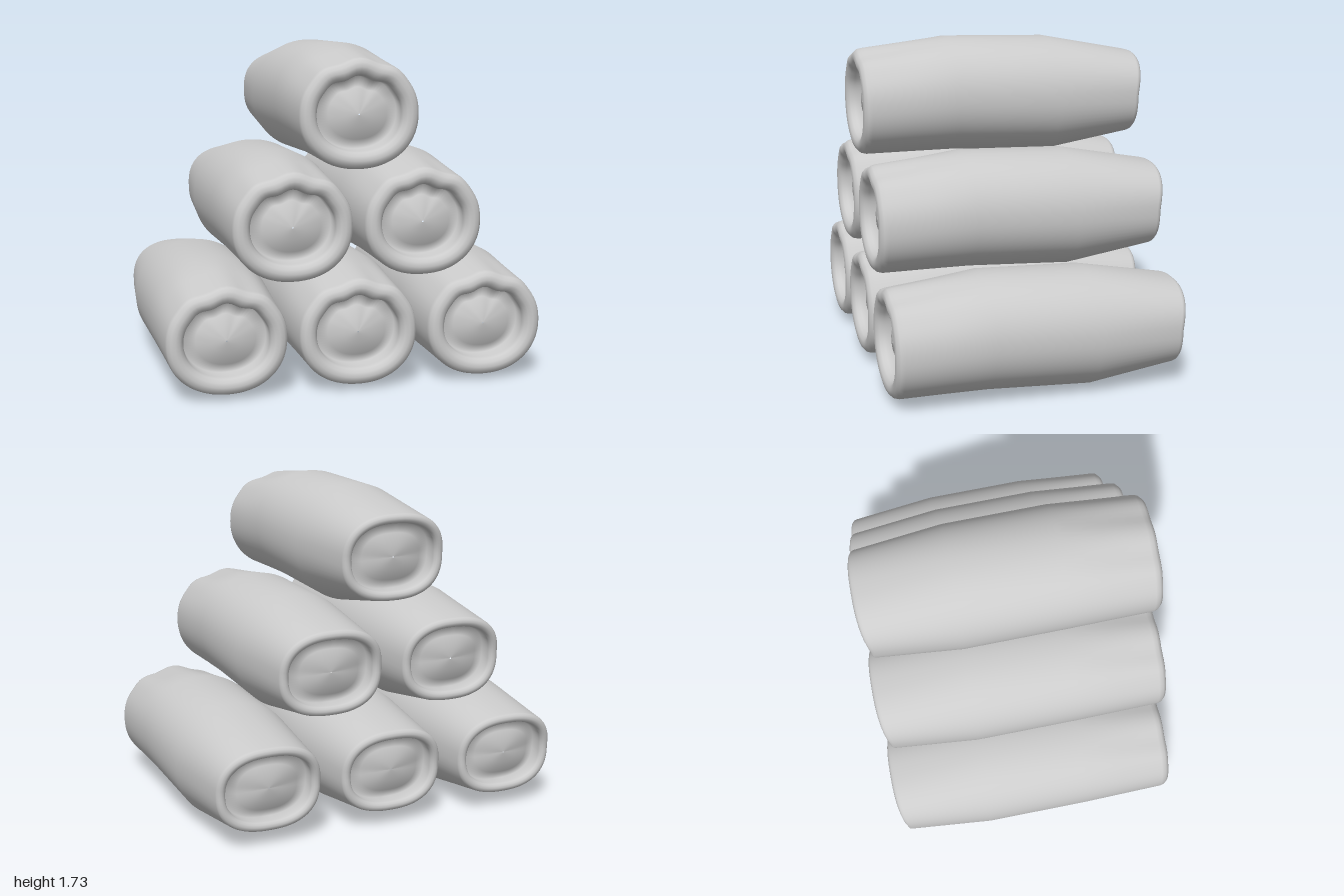
import * as THREE from 'three';

const SEGMENTS = 72;
const LIP_STEPS = 6;
const DISH_SCALES = [0.97, 0.7, 0.35, 0.02];

// Body cross-sections from front to back
const ring = (z, x0, x1, y0, y1, n, pleat, lean) => ({ z, x0, x1, y0, y1, n, pleat, lean });
const BODY = [
  ring(0.72, -0.302, 0.309, 0.03, 0.572, 2.15, 0.01, 0),
  ring(0.5, -0.311, 0.317, 0.03, 0.6, 2.1, 0.005, 0),
  ring(0.27, -0.32, 0.325, 0.03, 0.63, 2.1, 0, 0),
  ring(-0.27, -0.32, 0.325, 0.004, 0.615, 2.1, 0, 0),
  ring(-0.71, -0.28, 0.275, 0.08, 0.522, 2.45, 0, 0.04),
];

// Shrinks a cross-section by a margin and moves it along z
const inset = (r, d, dz) => ({
  ...r, z: r.z + dz, x0: r.x0 + d, x1: r.x1 - d, y0: r.y0 + d, y1: r.y1 - d,
});

// Scales a cross-section about its middle
function shrink(r, s, z) {
  const cx = (r.x0 + r.x1) / 2, cy = (r.y0 + r.y1) / 2;
  const hx = s * (r.x1 - r.x0) / 2, hy = s * (r.y1 - r.y0) / 2;
  return {
    ...r, z, x0: cx - hx, x1: cx + hx, y0: cy - hy, y1: cy + hy,
    pleat: r.pleat * s, lean: r.lean * s,
  };
}

// Rolled lip, recess wall and bulging dish, listed from the body inwards
function endRings(edge, direction, radius, depth) {
  const rings = [];
  for (let i = 1; i <= LIP_STEPS; i++) {
    const t = (i / LIP_STEPS) * Math.PI;
    rings.push(inset(edge, radius * (1 - Math.cos(t)), direction * radius * Math.sin(t)));
  }
  const mouth = rings[LIP_STEPS - 1];
  const floor = edge.z - direction * depth;
  for (const s of DISH_SCALES) {
    rings.push(shrink(mouth, s, floor + direction * 0.065 * (1 - s * s)));
  }
  return rings;
}

// Point on a rounded, slightly squared cross-section with pleats along its top
function ringPoint({ z, x0, x1, y0, y1, n, pleat, lean }, angle) {
  const c = Math.cos(angle), s = Math.sin(angle);
  const curve = (v) => Math.sign(v) * Math.pow(Math.abs(v), 2 / n);
  const up = Math.max(0, s);
  const fold = pleat * up ** 3 * Math.cos(9 * (angle - Math.PI / 2));
  const x = (x0 + x1) / 2 + (x1 - x0) / 2 * curve(c) + fold * c;
  const y = (y0 + y1) / 2 + (y1 - y0) / 2 * curve(s) + fold * s;
  return [x, y, z - lean * up];
}

function rollGeometry() {
  const rings = [
    ...endRings(BODY[0], 1, 0.045, 0.065).reverse(),
    ...BODY,
    ...endRings(BODY[BODY.length - 1], -1, 0.025, 0.055),
  ];
  const positions = [], index = [];
  rings.forEach((r, i) => {
    for (let j = 0; j < SEGMENTS; j++) {
      positions.push(...ringPoint(r, (j / SEGMENTS) * Math.PI * 2));
      if (i === rings.length - 1) continue;
      const a = i * SEGMENTS + j;
      const b = i * SEGMENTS + (j + 1) % SEGMENTS;
      index.push(a, a + SEGMENTS, b, b, a + SEGMENTS, b + SEGMENTS);
    }
  });
  const geometry = new THREE.BufferGeometry();
  geometry.setAttribute('position', new THREE.Float32BufferAttribute(positions, 3));
  geometry.setIndex(index);
  geometry.computeVertexNormals();
  return geometry;
}

export function createModel() {
  const group = new THREE.Group();
  group.name = 'rollStack';
  const geometry = rollGeometry();
  const material = new THREE.MeshStandardMaterial({ color: 0xcccccc });

  // Pyramid of rolls: three, two, one
  for (let row = 0; row < 3; row++) {
    const count = 3 - row;
    for (let k = 0; k < count; k++) {
      const roll = new THREE.Mesh(geometry, material);
      roll.name = `roll_row${row + 1}_${k + 1}`;
      roll.position.set((k - (count - 1) / 2) * 0.672, row * 0.55, 0);
      group.add(roll);
    }
  }
  return group;
}
